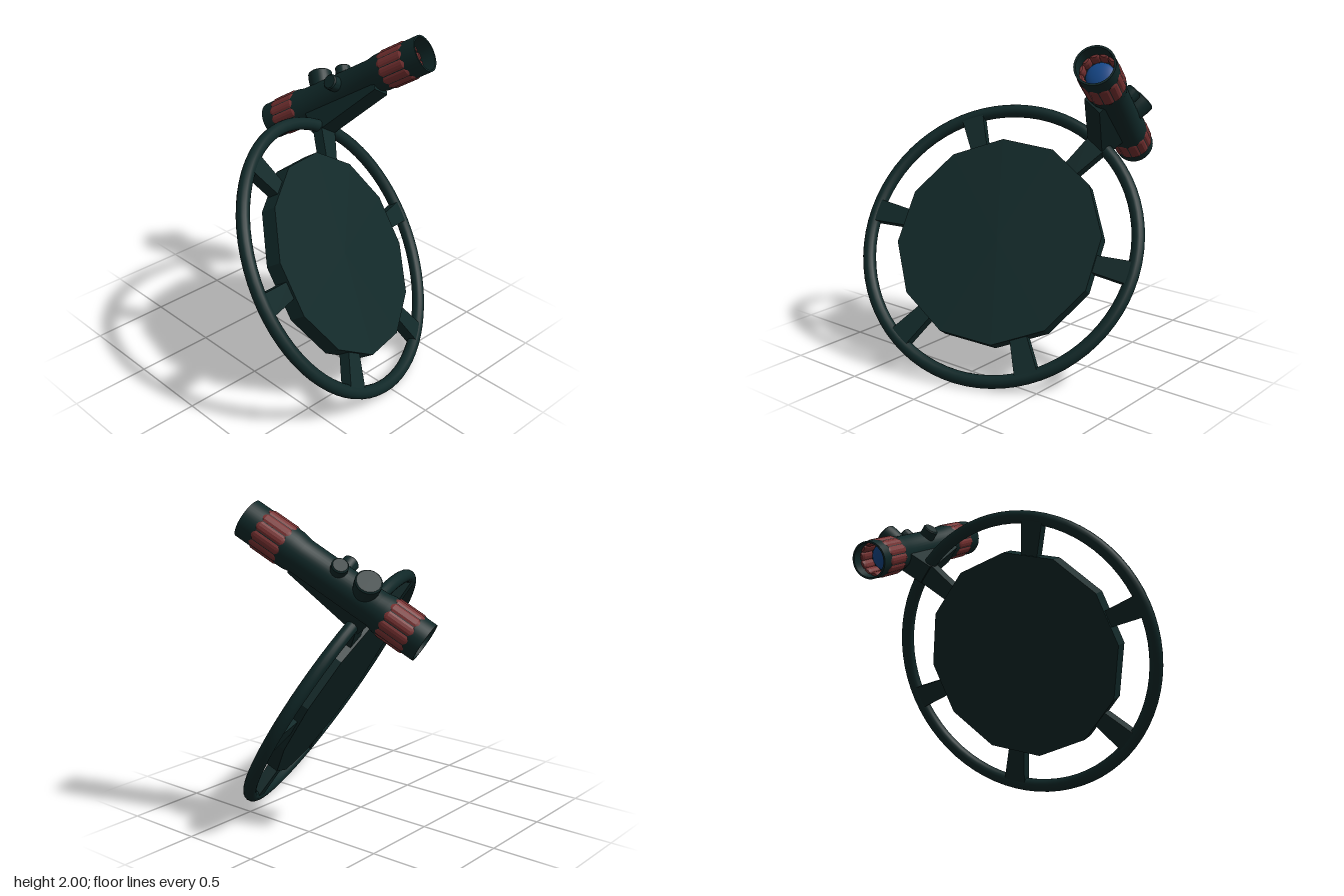
import * as THREE from 'three';
import { toCreasedNormals } from 'three/addons/utils/BufferGeometryUtils.js';

const paint = (name, color) => {
  const m = new THREE.MeshStandardMaterial({ color });
  m.name = name;
  return m;
};

export function createModel() {
  const body = paint('darkTeal', 0x102828);
  const grip = paint('dullRed', 0x783232);
  const glass = paint('lensBlue', 0x15488a);

  const model = new THREE.Group();
  model.name = 'scopedShield';

  // Tilted frame: z is the facing direction, x points from the hub to the scope
  const tilted = new THREE.Group();
  tilted.name = 'tiltedAssembly';
  const n = new THREE.Vector3(0.3, 0.525, 0.796).normalize();
  const u = new THREE.Vector3(0.432, 0.67, -0.604);
  u.addScaledVector(n, -u.dot(n)).normalize();
  const v = n.clone().cross(u);
  tilted.quaternion.setFromRotationMatrix(new THREE.Matrix4().makeBasis(u, v, n));
  tilted.position.set(0, 0.77, 0.237);
  model.add(tilted);

  const add = (name, geometry, material, parent = tilted) => {
    const mesh = new THREE.Mesh(geometry, material);
    mesh.name = name;
    parent.add(mesh);
    return mesh;
  };
  const lathe = (points, sides) => toCreasedNormals(
    new THREE.LatheGeometry(points.map(([r, y]) => new THREE.Vector2(r, y)), sides), 0.5);

  // Outer ring
  add('outerRing', new THREE.TorusGeometry(0.852, 0.04, 16, 72), body);

  // Twelve-sided plate, with a flat side toward the scope
  const plate = new THREE.CylinderGeometry(0.645, 0.645, 0.1, 12).toNonIndexed();
  plate.computeVertexNormals();
  plate.rotateX(Math.PI / 2).rotateZ(Math.PI / 12);
  add('shieldPlate', plate, body);

  // Six spokes that widen toward the ring
  for (let i = 0; i < 6; i++) {
    let geo = new THREE.BoxGeometry(0.26, 0.1, 0.07);
    const p = geo.attributes.position;
    for (let k = 0; k < p.count; k++) if (p.getX(k) > 0) p.setY(k, p.getY(k) * 1.4);
    geo = geo.toNonIndexed();
    geo.computeVertexNormals();
    geo.translate(0.715, 0, 0).rotateZ(i * Math.PI / 3);
    add('spoke' + (i + 1), geo, body);
  }

  // Wedge bracket between the ring and the scope
  const wedge = new THREE.Shape([[0.82, -0.05], [0.98, -0.09], [0.98, 0.47], [0.925, 0.47], [0.82, 0.03]]
    .map(([x, y]) => new THREE.Vector2(x, y)));
  const bracket = new THREE.ExtrudeGeometry(wedge, { depth: 0.13, bevelEnabled: false });
  bracket.translate(0, 0, -0.065).rotateX(Math.PI / 2);
  add('scopeBracket', bracket, body);

  // Scope, whose axis runs along z
  const scope = new THREE.Group();
  scope.name = 'scope';
  scope.position.x = 1.05;
  tilted.add(scope);

  // Hollow barrel: outer wall, then bore
  const back = -0.405, front = 0.82;
  const barrel = lathe([
    [0.107, back], [0.119, back], [0.119, -0.13], [0.108, -0.08], [0.108, 0.44],
    [0.119, 0.5], [0.119, front], [0.107, front], [0.107, back],
  ], 40);
  add('barrel', barrel.rotateX(Math.PI / 2), body, scope);

  // Domed lens and its seat, recessed in each end
  for (const [name, z, dir] of [['front', front - 0.16, 1], ['rear', back + 0.18, -1]]) {
    const seat = new THREE.CylinderGeometry(0.108, 0.108, 0.01, 32).rotateX(Math.PI / 2);
    add(name + 'LensSeat', seat, body, scope).position.z = z;
    const dome = new THREE.SphereGeometry(0.085, 28, 8, 0, Math.PI * 2, 0, Math.PI / 2);
    dome.scale(1, 0.35, 1).rotateX(dir * Math.PI / 2);
    add(name + 'Lens', dome, glass, scope).position.z = z + dir * 0.005;
  }

  // Ribbed grips: rounded bars with tapered ends
  const bar = lathe([[0, -0.1], [0.02, -0.098], [0.033, -0.078], [0.033, 0.078], [0.02, 0.098], [0, 0.1]], 12);
  bar.rotateX(Math.PI / 2).scale(0.62, 1, 1).translate(0.105, 0, 0);
  for (const [name, z] of [['frontGrip', front - 0.19], ['rearGrip', back + 0.165]]) {
    const ribs = new THREE.Group();
    ribs.name = name;
    ribs.position.z = z;
    scope.add(ribs);
    for (let i = 0; i < 12; i++) add('rib', bar, grip, ribs).rotation.z = i * Math.PI / 6;
  }

  // Adjustment knobs: height measured from the barrel axis
  const knob = (name, r, height, z, angle) => {
    const geo = lathe([[0, 0.06], [r * 0.9, 0.06], [r, height - 0.05], [r, height - 0.008], [r - 0.008, height], [0, height]], 28);
    const mesh = add(name, geo.rotateZ(-Math.PI / 2), body, scope);
    mesh.rotation.z = angle;
    mesh.position.z = z;
  };
  knob('largeTopKnob', 0.078, 0.185, 0.02, 0);
  knob('smallTopKnob', 0.05, 0.155, 0.205, 0);
  knob('sideKnob', 0.05, 0.165, 0.205, Math.PI / 2);

  return model;
}
